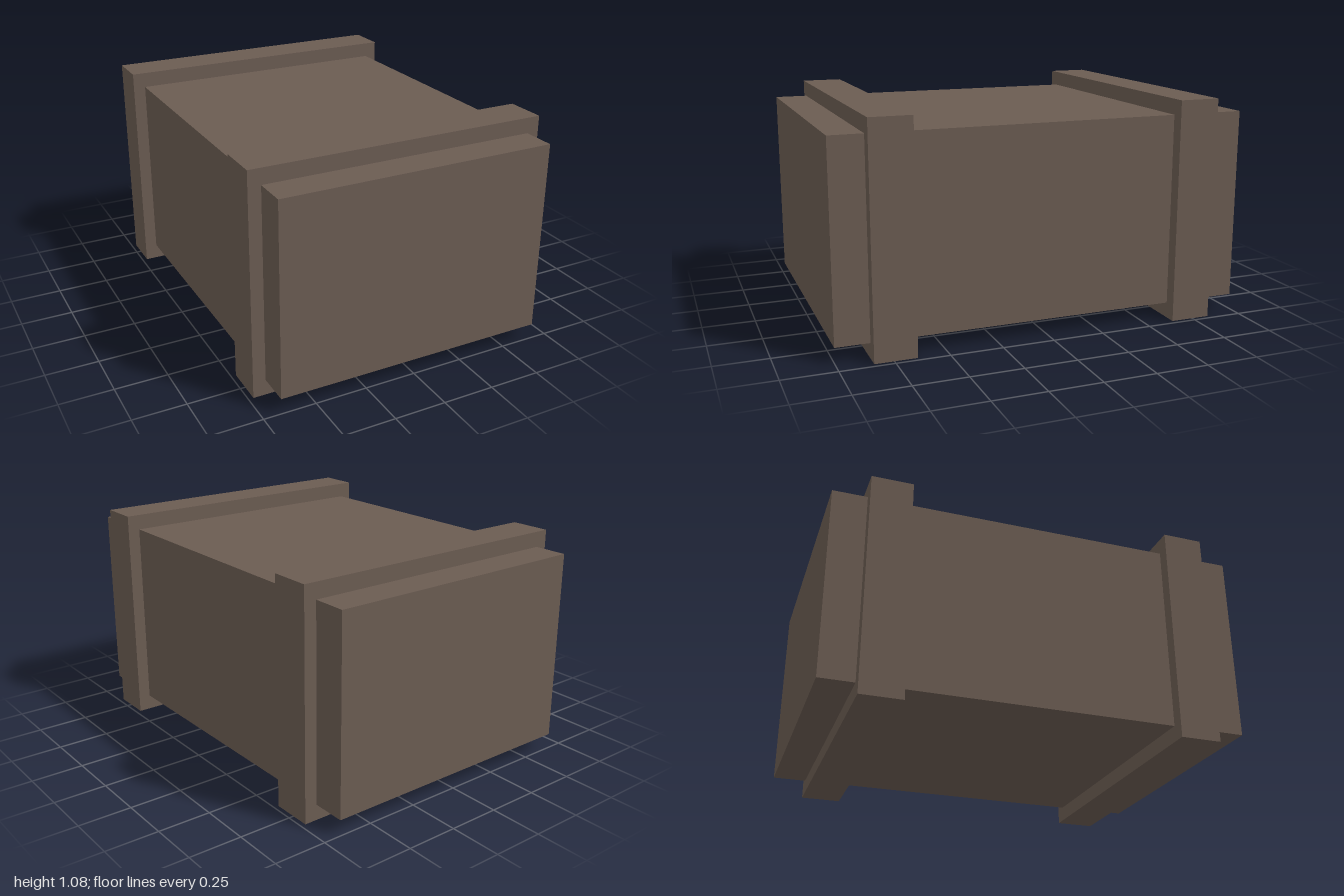
import * as THREE from 'three';

export function createModel() {
  const group = new THREE.Group();
  group.name = 'crate';
  const wood = new THREE.MeshStandardMaterial({ color: 0x6b5c52 });
  wood.name = 'brown wood';

  const addBox = (name, width, height, depth, y, z) => {
    const mesh = new THREE.Mesh(new THREE.BoxGeometry(width, height, depth), wood);
    mesh.name = name;
    mesh.position.set(0, y, z);
    group.add(mesh);
  };

  // Long body, raised off the ground by the bands
  addBox('body', 1.333, 0.925, 2, 0.5375, 0);

  // Thick bands wrapped around each end
  addBox('frontBand', 1.453, 1.075, 0.197, 0.5375, 0.742);
  addBox('backBand', 1.453, 1.075, 0.197, 0.5375, -0.738);

  return group;
}
